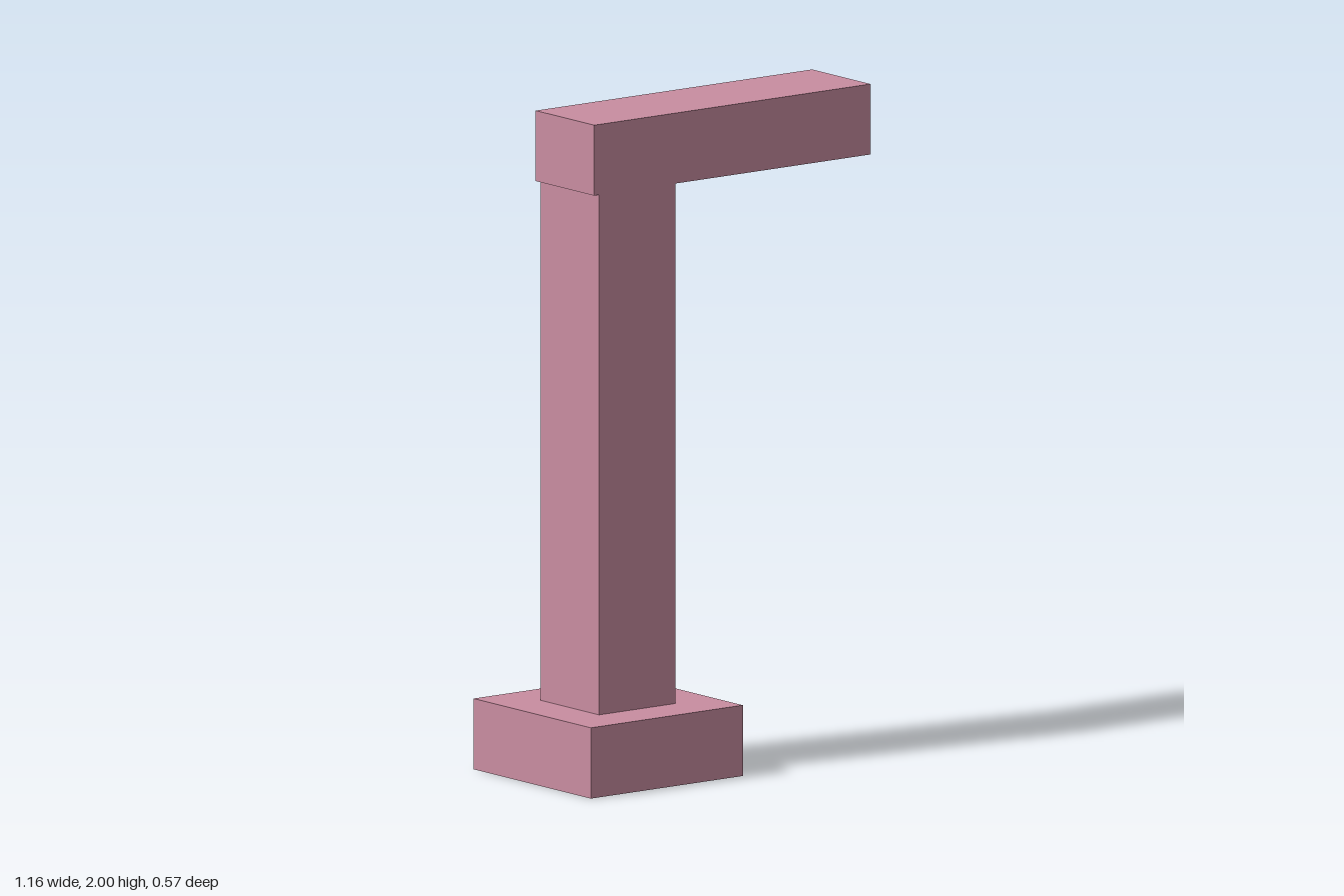
import * as THREE from 'three';

export function createModel() {
  const model = new THREE.Group();
  model.name = 'lampPost';
  const pink = new THREE.MeshStandardMaterial({ color: 0xc98da1 });
  pink.name = 'dusty pink';

  // Box given by its x and y limits and its depth, centred on z = 0
  const addBox = (name, x0, x1, y0, y1, depth) => {
    const mesh = new THREE.Mesh(new THREE.BoxGeometry(x1 - x0, y1 - y0, depth), pink);
    mesh.position.set((x0 + x1) / 2, (y0 + y1) / 2, 0);
    mesh.name = name;
    model.add(mesh);
  };

  addBox('base', -0.58, -0.01, 0, 0.214, 0.57);
  addBox('column', -0.439, -0.152, 0.214, 1.787, 0.284);
  addBox('arm', -0.457, 0.58, 1.787, 2, 0.284);

  return model;
}
